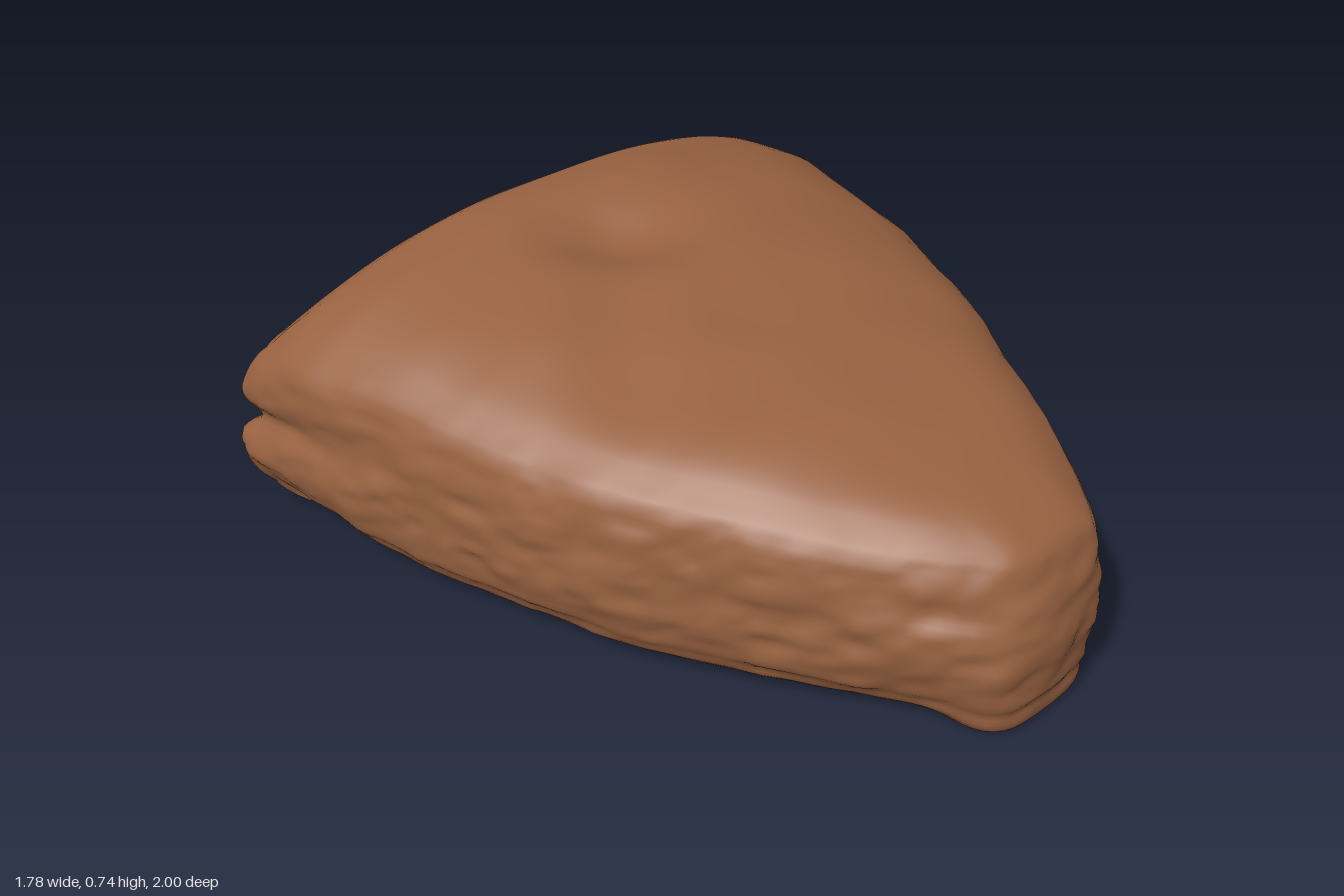
import * as THREE from 'three';

const rock = new THREE.MeshStandardMaterial({ color: 0x976140 });
rock.name = 'brown stone';

// Piecewise-linear lookup through [input, output] pairs
function lookup(table, v) {
  if (v <= table[0][0]) return table[0][1];
  for (let i = 1; i < table.length; i++) {
    const [a, fa] = table[i - 1], [b, fb] = table[i];
    if (v <= b) return fa + (fb - fa) * (v - a) / (b - a);
  }
  return table[table.length - 1][1];
}
const { lerp, smoothstep } = THREE.MathUtils;
const bump = (d, width) => Math.exp(-(d * d) / (width * width));

// Smooth value noise in the range -1 to 1
function hash(x, y, z) {
  const s = Math.sin(x * 127.1 + y * 311.7 + z * 74.7) * 43758.5453;
  return 2 * (s - Math.floor(s)) - 1;
}
function noise(x, y, z) {
  const i = Math.floor(x), j = Math.floor(y), k = Math.floor(z);
  const u = smoothstep(x - i, 0, 1), v = smoothstep(y - j, 0, 1), w = smoothstep(z - k, 0, 1);
  const row = (b, c) => lerp(hash(i, b, c), hash(i + 1, b, c), u);
  const sheet = (c) => lerp(row(j, c), row(j + 1, c), v);
  return lerp(sheet(k), sheet(k + 1), w);
}

// Wedge outline seen from above: blunt tip, right flank, back, left flank
const OUTLINE = [
  [-0.06, 0.965], [0.1, 0.985], [0.26, 0.955], [0.31, 0.88], [0.41, 0.7], [0.56, 0.41], [0.7, 0.1],
  [0.79, -0.2], [0.84, -0.45], [0.885, -0.65], [0.84, -0.74], [0.73, -0.82], [0.5, -0.87],
  [0.1, -0.885], [-0.4, -0.88], [-0.83, -0.89], [-0.89, -0.875], [-0.885, -0.68], [-0.8, -0.35],
  [-0.69, -0.02], [-0.58, 0.24], [-0.4, 0.55], [-0.2, 0.82],
];
// Along z: ridge height, drop from ridge to flank, and half width
const RIDGE = [[-0.9, 0.67], [-0.8, 0.7], [-0.72, 0.735], [-0.6, 0.74], [-0.4, 0.715], [0, 0.66],
  [0.3, 0.62], [0.6, 0.57], [0.8, 0.52], [0.98, 0.48]];
const DROP = [[-0.7, 0.25], [-0.3, 0.2], [0.4, 0.11], [0.95, 0.03]];
const HALF_WIDTH = [[-0.7, 0.88], [-0.2, 0.79], [0.2, 0.63], [0.6, 0.42], [0.95, 0.18]];
// Height fraction -> inset from the outline, for flanks and for back and tip
const FLANK = [[0, 0.13], [0.03, 0.09], [0.1, 0.055], [0.2, 0.03], [0.4, 0.005], [0.6, 0],
  [0.78, 0.005], [0.88, 0.015], [0.95, 0.032], [1, 0.06]];
const ENDS = [[0, 0.045], [0.03, 0.02], [0.1, 0.01], [0.4, 0], [0.6, 0.005], [0.78, 0.022],
  [0.88, 0.042], [0.95, 0.06], [1, 0.09]];

// Crowned top with a shallow valley near the back
function topHeight(x, z) {
  const u = Math.abs(x - 0.05 - 0.05 * z) / lookup(HALF_WIDTH, z);
  const crown = lookup(DROP, z) * Math.min(u, 1.1) ** 2.6 * (x < 0 ? 0.85 : 1);
  const hollow = 0.05 * bump(x + 0.06 - 0.5 * (z + 0.45), 0.17) * bump(z + 0.42, 0.15);
  const valley = 0.018 * bump(x + 0.2 + 0.5 * (z + 0.2), 0.14) * bump(z + 0.1, 0.3);
  return lookup(RIDGE, z) - crown - hollow - valley + 0.007 * noise(5 * x, 0, 5 * z);
}
const bottomHeight = (x, z) => 0.026 - 0.02 * bump(z - 0.95, 0.25) * bump(x - 0.1, 0.5)
  + 0.006 * noise(6 * x, 3, 6 * z);

// Rough, slightly layered surface on the flanks
const roughness = (x, y, z) => 0.012 * noise(5 * x, 8 * y, 5 * z)
  + 0.009 * noise(11 * x, 20 * y, 11 * z) + 0.006 * noise(22 * x, 34 * y, 22 * z);

// Evenly spaced outline points with softened outward normals
function sampleOutline(count) {
  const curve = new THREE.CatmullRomCurve3(
    OUTLINE.map(([x, z]) => new THREE.Vector3(x, 0, z)), true, 'centripetal');
  curve.arcLengthDivisions = 1000;
  return Array.from({ length: count }, (_, i) => {
    const p = curve.getPointAt(i / count), t = new THREE.Vector3();
    for (let k = -6; k <= 6; k++) t.add(curve.getTangentAt((i + k + count) % count / count));
    t.normalize();
    return { x: p.x, z: p.z, nx: -t.z, nz: t.x };
  });
}

// Distance a flank point is pulled in from the outline
function insetAt(e, f) {
  const end = Math.max(smoothstep(-e.nz, 0.3, 0.9), smoothstep(e.nz, 0.6, 0.95));
  const corner = bump(e.x + 0.88, 0.2) * bump(e.z + 0.88, 0.35);
  const y = 0.03 + 0.5 * f;
  return lerp(lookup(FLANK, f), lookup(ENDS, f), end)
    + 0.035 * f * f * smoothstep(-e.nx, 0.2, 0.7)
    + corner * (0.055 * bump(y - 0.32, 0.045) + 0.1 * Math.max(0, 1 - f / 0.35) ** 2)
    + 0.012 * bump(y - 0.1, 0.02) * (0.6 + 0.4 * noise(3 * e.x, 7, 3 * e.z))
    + 0.02 * smoothstep(-e.nz, 0.5, 0.9) * bump(y - 0.3 - 0.1 * e.x, 0.04) * bump(e.x + 0.5, 0.5);
}
const RIM = 0.022;

// Point on the flank at height fraction f
function flankPoint(e, f) {
  const shift = (d) => [e.x - e.nx * d, e.z - e.nz * d];
  const low = bottomHeight(...shift(insetAt(e, 0)));
  const high = topHeight(...shift(insetAt(e, 1))) - RIM;
  const y = lerp(low, high, f);
  const [x, z] = shift(insetAt(e, f) - roughness(e.x, y, e.z) * Math.sin(Math.PI * f) ** 0.6);
  return [x, y, z];
}

function buildWedge() {
  const N = 240, SIDE = 36, BOTTOM = 16, TOP = 32, cx = 0.04, cz = -0.2;
  const edge = sampleOutline(N);
  // Cap ring shrunk toward the centre by s, lying on a height rule
  const cap = (f, s, height) => edge.map((e) => {
    const [px, , pz] = flankPoint(e, f);
    const x = cx + (px - cx) * s, z = cz + (pz - cz) * s;
    return [x, height(x, z), z];
  });
  const rings = [];
  for (let k = 0; k < BOTTOM; k++) rings.push(cap(0, k / BOTTOM, bottomHeight));
  for (let k = 0; k <= SIDE; k++) rings.push(edge.map((e) => flankPoint(e, k / SIDE)));
  for (let k = TOP - 1; k >= 0; k--) {
    const s = k / TOP;
    rings.push(cap(1, s, (x, z) => topHeight(x, z) - RIM * s ** 16));
  }
  const index = [];
  for (let r = 0; r < rings.length - 1; r++) {
    for (let i = 0; i < N; i++) {
      const a = r * N + i, b = r * N + (i + 1) % N;
      index.push(a, b, b + N, a, b + N, a + N);
    }
  }
  const geometry = new THREE.BufferGeometry();
  geometry.setAttribute('position', new THREE.Float32BufferAttribute(rings.flat(2), 3));
  geometry.setIndex(index);
  geometry.computeVertexNormals();
  return geometry;
}

// Rounded lobe sticking out of the back, with a flared root
function buildNub() {
  const profile = [[0.18, -0.02], [0.13, 0.02], [0.1, 0.06], [0.075, 0.1], [0.05, 0.13], [0.025, 0.147], [0, 0.15]]
    .map(([r, y]) => new THREE.Vector2(r, y));
  const geometry = new THREE.LatheGeometry(profile, 28);
  geometry.rotateX(-Math.PI / 2);
  const p = geometry.attributes.position;
  for (let i = 0; i < p.count; i++) {
    const x = p.getX(i), y = p.getY(i), z = p.getZ(i);
    // Lean the root sideways and stretch its upper half
    p.setXYZ(i, x * 0.95 - 0.25 * (z + 0.15), y * (y > 0 ? 1.3 : 1.05) + 0.15 * x, z);
  }
  geometry.computeVertexNormals();
  return geometry;
}

export function createModel() {
  const model = new THREE.Group();
  model.name = 'wedgeRock';
  const body = new THREE.Mesh(buildWedge(), rock);
  body.name = 'wedgeBody';
  const nub = new THREE.Mesh(buildNub(), rock);
  nub.name = 'backNub';
  nub.position.set(-0.25, 0.33, -0.85);
  model.add(body, nub);
  return model;
}
